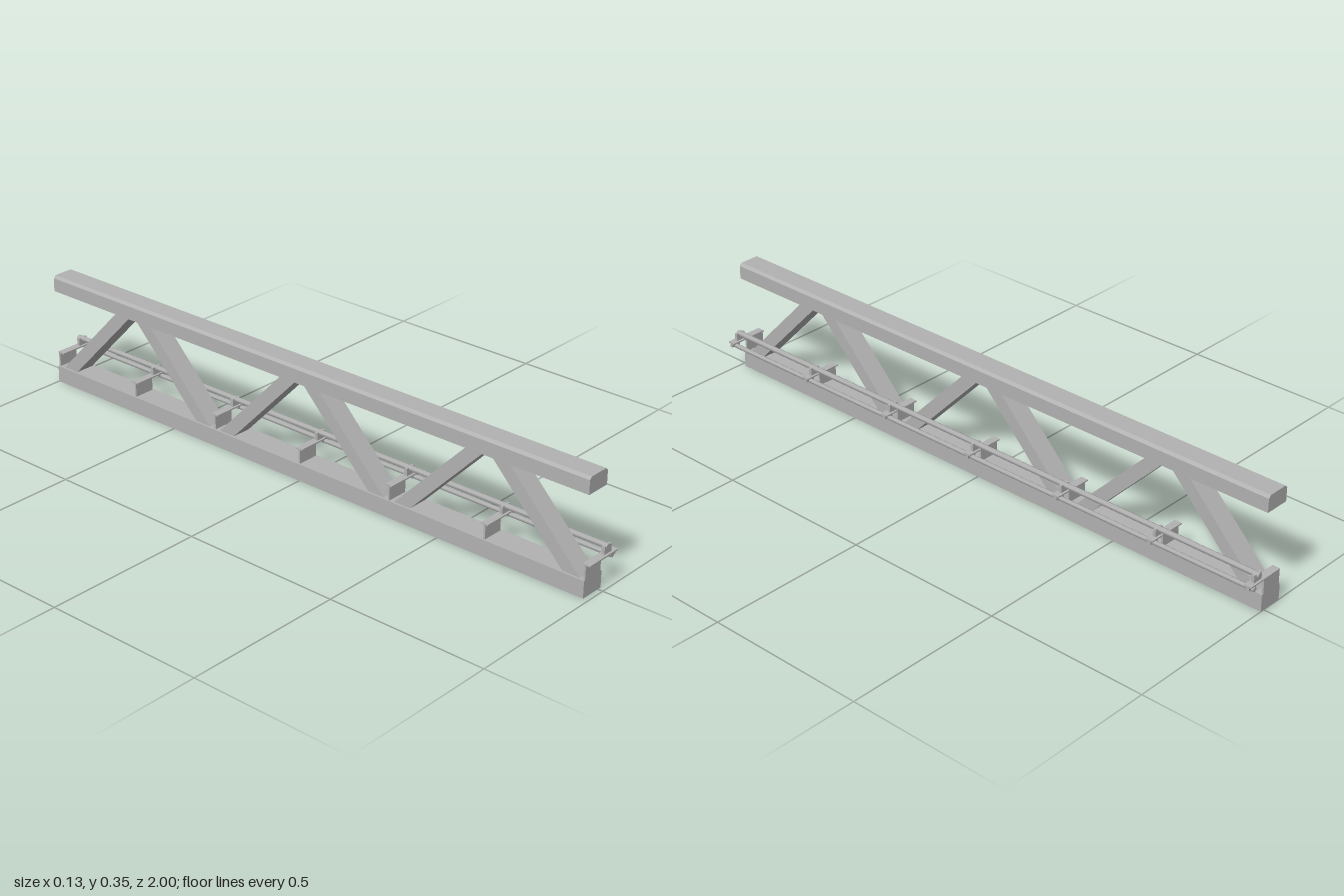
import * as THREE from 'three';

const steel = new THREE.MeshStandardMaterial({ color: 0xb2b2b2 });
steel.name = 'steel grey';

const Z0 = -1, Z1 = 0.984; // ends of the beams

export function createModel() {
  const model = new THREE.Group();
  model.name = 'trussWithPipes';

  const add = (name, geometry, parent = model) => {
    const mesh = new THREE.Mesh(geometry, steel);
    mesh.name = name;
    parent.add(mesh);
    return mesh;
  };

  // Box given by its limits on each axis
  const box = (name, x0, x1, y0, y1, z0, z1, parent) =>
    add(name, new THREE.BoxGeometry(x1 - x0, y1 - y0, z1 - z0), parent)
      .position.set((x0 + x1) / 2, (y0 + y1) / 2, (z0 + z1) / 2);

  const shapeOf = (pts) => new THREE.Shape(pts.map(([a, b]) => new THREE.Vector2(a, b)));

  // Bottom chord, and top chord with chamfered upper edges
  box('bottomChord', -0.065, 0.0125, 0, 0.052, Z0, Z1);
  const topProfile = shapeOf([
    [-0.065, 0.302], [0.0125, 0.302], [0.0125, 0.344], [0.005, 0.352], [-0.0575, 0.352], [-0.065, 0.344],
  ]);
  const topChord = new THREE.ExtrudeGeometry(topProfile, { depth: Z1 - Z0, bevelEnabled: false });
  topChord.translate(0, 0, Z0);
  add('topChord', topChord);

  // Diagonal braces: three mirrored pairs, each leaning in to a point on the top chord
  const half = 0.028;
  for (const apex of [0.655, -0.005, -0.667]) {
    for (const side of [-1, 1]) {
      const foot = apex + side * 0.285, head = apex + side * 0.04;
      const shape = shapeOf([
        [foot - half, 0.05], [foot + half, 0.05], [head + half, 0.304], [head - half, 0.304],
      ]);
      const brace = new THREE.ExtrudeGeometry(shape, { depth: 0.062, bevelEnabled: false });
      brace.rotateY(-Math.PI / 2);
      brace.translate(0.004, 0, 0);
      add('diagonalBrace', brace);
    }
  }

  // Pipe brackets: upright web, flange reaching out sideways and two pipe clamps
  for (let i = 0; i < 7; i++) {
    const last = i === 6;
    const z = last ? -0.988 : 0.986 - i * 0.33;
    const web = last ? -0.997 : i === 0 ? 0.981 : z;
    const bracket = new THREE.Group();
    bracket.name = 'pipeBracket';
    model.add(bracket);
    box('bracketWeb', -0.06, 0.007, 0.051, 0.0955, web - 0.003, web + 0.003, bracket);
    box('bracketFlange', -0.0615, 0.0625, 0.0955, 0.0995, z - 0.012, z + 0.012, bracket);
    box('upperClamp', 0.011, 0.042, 0.0995, 0.1225, z - 0.005, z + 0.005, bracket);
    box('lowerClamp', 0.0315, 0.0625, 0.084, 0.0955, z - 0.005, z + 0.005, bracket);
  }

  // Two pipes running the full length
  const pipe = (name, x, y, r) => {
    const geometry = new THREE.CylinderGeometry(r, r, Z1 - Z0 + 0.008, 6);
    geometry.rotateX(Math.PI / 2);
    add(name, geometry).position.set(x, y, (Z0 + Z1) / 2 + 0.004);
  };
  pipe('upperPipe', 0.0265, 0.1187, 0.009);
  pipe('lowerPipe', 0.0465, 0.0853, 0.0075);

  return model;
}
